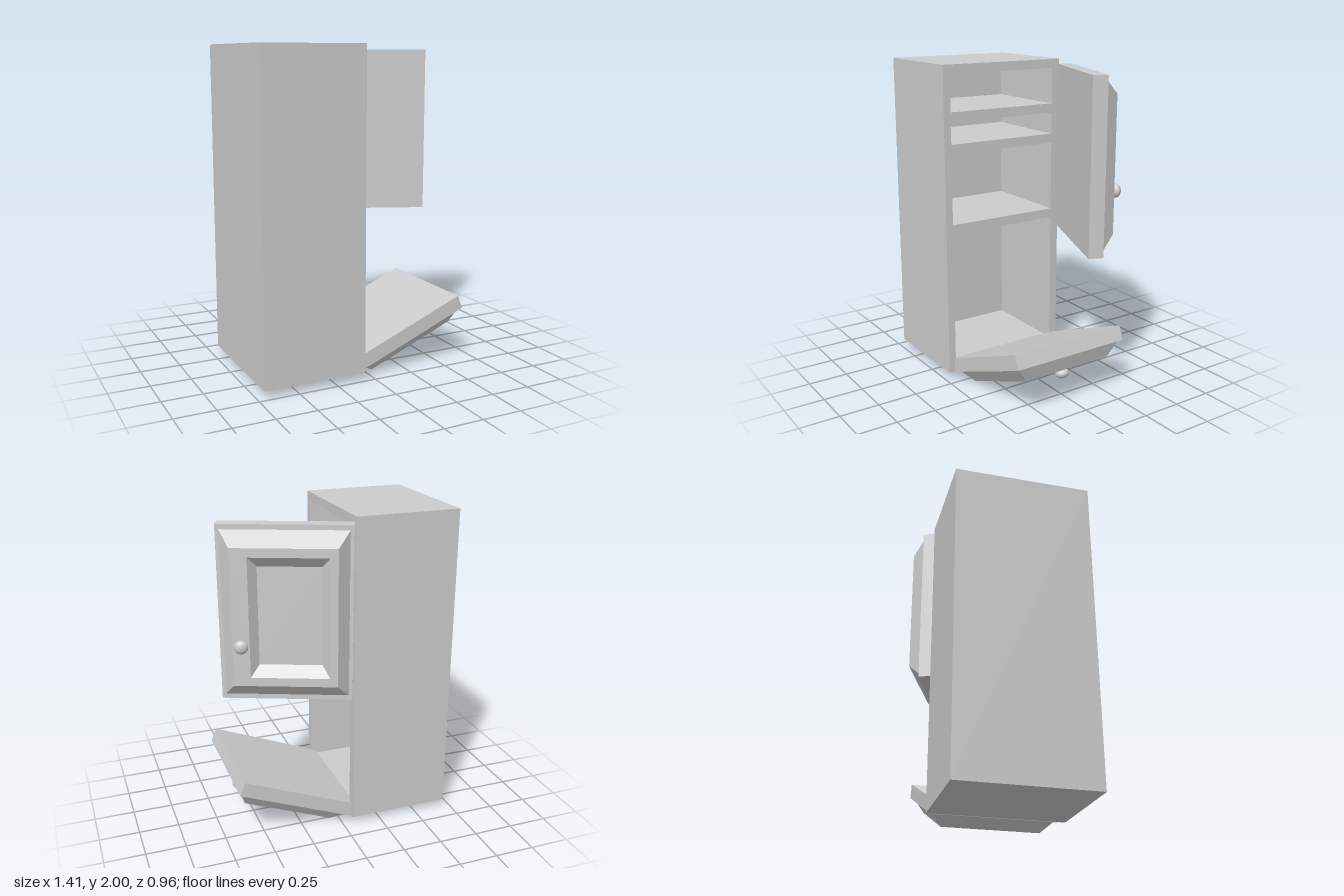
import * as THREE from 'three';

const material = new THREE.MeshStandardMaterial({ color: 0xcccccc, flatShading: true });
const smooth = new THREE.MeshStandardMaterial({ color: 0xcccccc });

function addMesh(parent, name, geometry, mat = material) {
  const mesh = new THREE.Mesh(geometry, mat);
  mesh.name = name;
  parent.add(mesh);
  return mesh;
}

// Raised panel with a bevelled rim and a tapered recess, lofted through rectangles.
// u runs from the hinge to the free edge, w across, n outward.
function panelGeometry(length, width) {
  const s = width / length; // side margins follow the panel's proportions
  // [hinge margin, free edge margin, side margin, height]
  const rings = [
    [0, 0, 0, -0.09],
    [0, 0, 0, 0],
    [0.022, 0.022, 0.022, 0],
    [0.085, 0.085, 0.085, 0.082],
    [0.13, 0.185, 0.124, 0.082],
    [0.177, 0.232, 0.171, 0.027],
  ].map(([a, b, side, n]) => {
    const w = width / 2 - side * s;
    return [[a, -w, n], [length - b, -w, n], [length - b, w, n], [a, w, n]];
  });
  const points = [];
  const quad = (a, b, c, d) => points.push(...a, ...b, ...c, ...a, ...c, ...d);
  for (let r = 0; r < rings.length - 1; r++) {
    for (let i = 0; i < 4; i++) {
      const j = (i + 1) % 4;
      quad(rings[r][i], rings[r][j], rings[r + 1][j], rings[r + 1][i]);
    }
  }
  quad(...rings[rings.length - 1]);
  quad(...[...rings[0]].reverse());
  const geometry = new THREE.BufferGeometry();
  geometry.setAttribute('position', new THREE.Float32BufferAttribute(points, 3));
  geometry.computeVertexNormals();
  return geometry;
}

function createDoor(name, width, origin, u, n, knobOffset) {
  const door = new THREE.Group();
  door.name = name;
  addMesh(door, name + 'Panel', panelGeometry(0.778, width));

  // Round knob on a short stem
  const stem = addMesh(door, name + 'KnobStem', new THREE.CylinderGeometry(0.022, 0.03, 0.03, 20), smooth);
  stem.rotation.x = Math.PI / 2;
  stem.position.set(0.64, knobOffset, 0.09);
  const knob = addMesh(door, name + 'Knob', new THREE.SphereGeometry(0.042, 24, 16), smooth);
  knob.scale.z = 0.72;
  knob.position.set(0.64, knobOffset, 0.107);

  const w = new THREE.Vector3().crossVectors(n, u);
  door.quaternion.setFromRotationMatrix(new THREE.Matrix4().makeBasis(u, w, n));
  door.position.set(...origin);
  return door;
}

function rectangle(path, x0, x1, y0, y1) {
  path.moveTo(x0, y0);
  path.lineTo(x1, y0);
  path.lineTo(x1, y1);
  path.lineTo(x0, y1);
  path.closePath();
  return path;
}

function createCabinet() {
  const cabinet = new THREE.Group();
  cabinet.name = 'cabinet';

  // Walls and shelves in one extrusion, open towards +x
  const outline = rectangle(new THREE.Shape(), -0.475, 0.37, 0.045, 2);
  for (const [bottom, top] of [[0.105, 0.965], [1.025, 1.465], [1.525, 1.66], [1.72, 1.945]]) {
    outline.holes.push(rectangle(new THREE.Path(), -0.428, 0.315, bottom, top));
  }
  const body = new THREE.ExtrudeGeometry(outline, { depth: 0.6, bevelEnabled: false });
  body.rotateY(Math.PI / 2);
  body.translate(-0.658, 0, 0);
  addMesh(cabinet, 'wallsAndShelves', body);

  // Panel closing the far side
  const back = addMesh(cabinet, 'backPanel', new THREE.BoxGeometry(0.05, 1.955, 0.845));
  back.position.set(-0.683, 1.0225, 0.0525);
  return cabinet;
}

export function createModel() {
  const model = new THREE.Group();
  model.name = 'openCabinet';
  model.add(createCabinet());

  const c = Math.cos(0.39);
  const s = Math.sin(0.39);
  // Tall door swung sideways, and a flap folded down
  model.add(createDoor('upperDoor', 1.055, [-0.02, 1.4425, -0.437],
    new THREE.Vector3(c, 0, s), new THREE.Vector3(s, 0, -c), 0.16));
  model.add(createDoor('lowerDoor', 0.778, [-0.052, 0.044, 0.045],
    new THREE.Vector3(c, s, 0), new THREE.Vector3(s, -c, 0), 0.01));
  return model;
}
